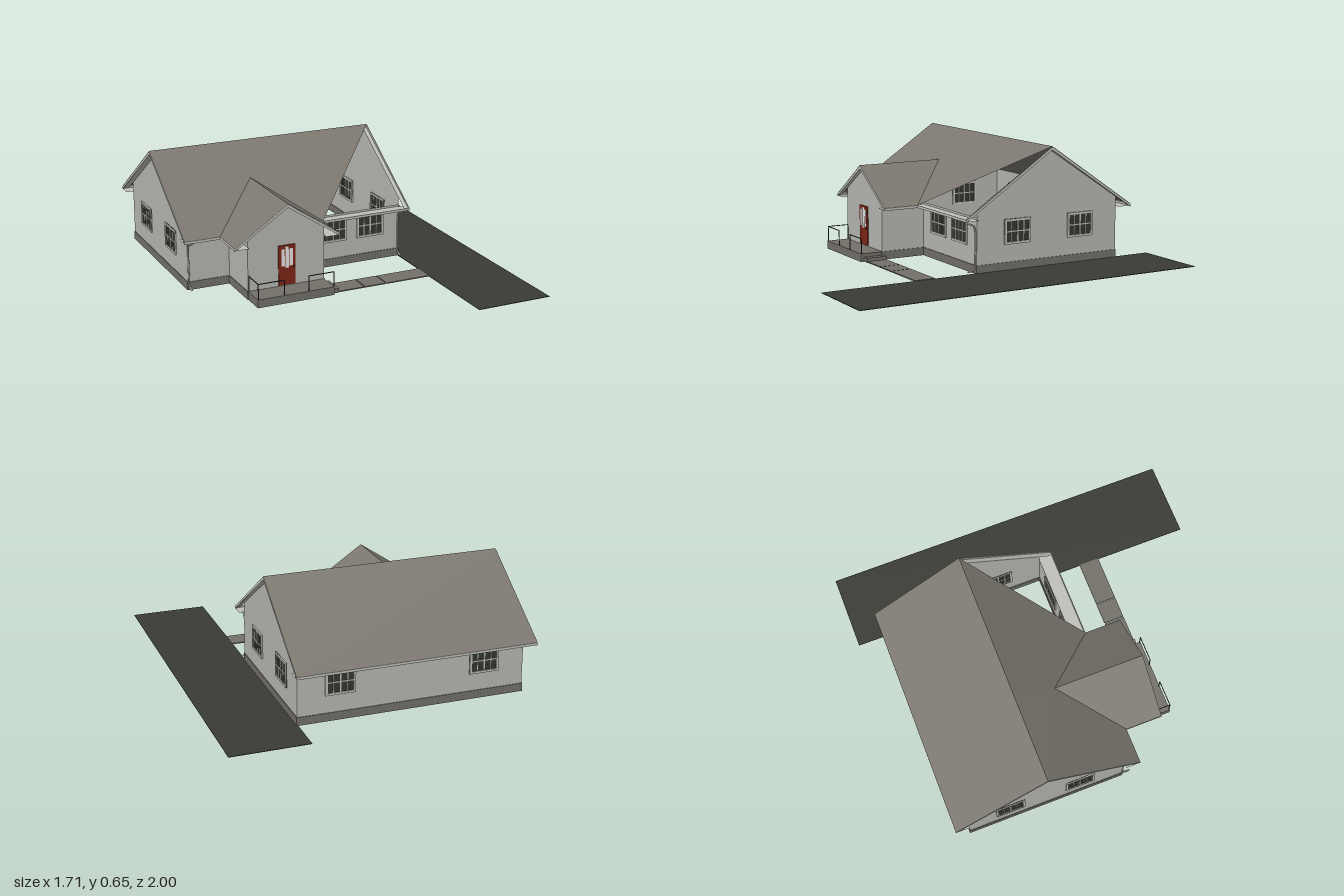
import * as THREE from 'three';

const material = (name, color, side = THREE.FrontSide) => {
  const m = new THREE.MeshStandardMaterial({ color, side });
  m.name = name;
  return m;
};

export function createModel() {
  const house = new THREE.Group();
  house.name = 'house';
  const D = THREE.DoubleSide;
  const siding = material('siding grey', 0xb8b8b4, D);
  const trim = material('trim grey', 0xc0c0bb, D);
  const shingle = material('shingle grey', 0x7c7870, D);
  const stone = material('foundation grey', 0x74716a, D);
  const asphalt = material('asphalt', 0x3b3b35, D);
  const glass = material('dark glass', 0x33362f);
  const doorRed = material('door red', 0x7e2517);
  const doorGlass = material('door glass', 0xf6f6f6);
  const metal = material('railing metal', 0x383836);

  const add = (name, geo, mat, x = 0, y = 0, z = 0, parent = house) => {
    const mesh = new THREE.Mesh(geo, mat);
    mesh.name = name;
    mesh.position.set(x, y, z);
    parent.add(mesh);
    return mesh;
  };
  // Box given by its minimum and maximum corners
  const box = (name, mat, [x0, y0, z0], [x1, y1, z1], parent = house) =>
    add(name, new THREE.BoxGeometry(x1 - x0, y1 - y0, z1 - z0), mat,
      (x0 + x1) / 2, (y0 + y1) / 2, (z0 + z1) / 2, parent);
  // Thin sheet made of flat polygons, each cut into a fan
  const sheet = (name, mat, ...polys) => {
    const pos = [];
    for (const p of polys)
      for (let i = 1; i < p.length - 1; i++) pos.push(...p[0], ...p[i], ...p[i + 1]);
    const geo = new THREE.BufferGeometry();
    geo.setAttribute('position', new THREE.Float32BufferAttribute(pos, 3));
    geo.computeVertexNormals();
    return add(name, geo, mat);
  };

  // Main dimensions
  const L = -0.82, R = 0.43, F = 0.11, B = -0.78;
  const base = 0.045, eave = 0.3, ridge = 0.65, ridgeZ = -0.34;
  const roofL = -0.86, roofR = 0.458, roofF = 0.19, roofB = -0.86;
  const pL = -0.585, pR = -0.15, pF = 0.37, pX = -0.367, pTop = 0.5;
  const pRoofL = -0.664, pRoofR = -0.07, pRoofF = 0.395, valleyZ = -0.11;
  const wallTop = 0.342;

  // Main walls, open behind the porch wing
  for (const [n, x] of [['rightGableWall', R], ['leftGableWall', L]])
    sheet(n, siding, [[x, base, F], [x, base, B], [x, wallTop, B], [x, ridge - 0.015, ridgeZ], [x, wallTop, F]]);
  sheet('backWall', siding, [[R, base, B], [L, base, B], [L, wallTop, B], [R, wallTop, B]]);
  sheet('frontWall', siding,
    [[L, base, F], [pL, base, F], [pL, eave, F], [L, eave, F]],
    [[pR, base, F], [R, base, F], [R, eave, F], [pR, eave, F]]);

  // Porch wing walls
  sheet('wingFrontWall', siding,
    [[pX, pTop - 0.012, pF], [pL, wallTop, pF], [pL, base, pF], [pR, base, pF], [pR, wallTop, pF]]);
  for (const [n, x] of [['wingLeftWall', pL], ['wingRightWall', pR]])
    sheet(n, siding, [[x, base, F], [x, base, pF], [x, wallTop, pF], [x, wallTop, F]]);

  // Foundation strips follow the wall outline
  const outline = [[L, B], [R, B], [R, F], [pR, F], [pR, pF], [pL, pF], [pL, F], [L, F]];
  outline.forEach(([x0, z0], i) => {
    const [x1, z1] = outline[(i + 1) % outline.length];
    const t = 0.004;
    box('foundation', stone, [Math.min(x0, x1) - t, 0, Math.min(z0, z1) - t],
      [Math.max(x0, x1) + t, base, Math.max(z0, z1) + t]);
  });

  // Main roof: full back slope, front slope cut along the valleys and the right diagonal
  sheet('backRoof', shingle,
    [[roofL, ridge, ridgeZ], [roofR, ridge, ridgeZ], [roofR, eave, roofB], [roofL, eave, roofB]]);
  const mid = [pX, ridge, ridgeZ], valley = [pX, pTop, valleyZ];
  sheet('frontRoof', shingle,
    [[roofL, ridge, ridgeZ], [roofL, eave, roofF], [pRoofL, eave, roofF], valley, mid],
    [mid, valley, [pRoofR, eave, roofF], [roofR, ridge, ridgeZ]]);
  sheet('wingRoof', shingle,
    ...[pRoofL, pRoofR].map(x =>
      [[pX, pTop, pRoofF], [x, eave, pRoofF], [x, eave, roofF], valley]));

  // Rake boards, drawn as a bent band along a gable
  const rake = (a, peak, b, top) => {
    const s = new THREE.Shape();
    s.moveTo(a, eave - 0.002);
    s.lineTo(peak, top - 0.002);
    s.lineTo(b, eave - 0.002);
    s.lineTo(b, eave - 0.017);
    s.lineTo(peak, top - 0.02);
    s.lineTo(a, eave - 0.017);
    return new THREE.ExtrudeGeometry(s, { depth: 0.004, bevelEnabled: false });
  };
  for (const x of [roofL, roofR - 0.004]) {
    const m = add('rakeBoard', rake(-roofF, -ridgeZ, -roofB, ridge), trim, x + 0.004);
    m.rotation.y = Math.PI / 2;
    m.position.x = x;
  }
  add('wingRakeBoard', rake(pRoofL, pX, pRoofR, pTop), trim, 0, 0, pRoofF - 0.004);

  // Soffits under the overhangs
  const sy = eave - 0.012;
  for (const [x0, x1] of [[roofL, L], [R, roofR]])
    sheet('gableSoffit', trim, ...[roofF, roofB].map(z =>
      [[x0, ridge - 0.02, ridgeZ], [x1, ridge - 0.02, ridgeZ], [x1, sy, z], [x0, sy, z]]));
  const flat = (x0, x1, z0, z1) => [[x0, sy, z0], [x1, sy, z0], [x1, sy, z1], [x0, sy, z1]];
  sheet('eaveSoffit', trim, flat(roofL, roofR, roofB, B), flat(roofL, pL, F, roofF),
    flat(pR, roofR, F, roofF), flat(pRoofL, pL, roofF, pRoofF), flat(pR, pRoofR, roofF, pRoofF));
  sheet('wingSoffit', trim, ...[pRoofL, pRoofR].map(x =>
    [[pX, pTop - 0.02, pF], [pX, pTop - 0.02, pRoofF], [x, sy, pRoofF], [x, sy, pF]]));

  // Eave boards
  const e0 = eave - 0.015, e1 = eave - 0.001;
  box('backEaveBoard', trim, [roofL, e0, roofB], [roofR, e1, roofB + 0.004]);
  box('frontEaveBoard', trim, [roofL, e0, roofF - 0.004], [pRoofL, e1, roofF]);
  box('frontEaveBoard', trim, [pRoofR, e0, roofF - 0.004], [roofR, e1, roofF]);
  for (const x of [pRoofL, pRoofR - 0.004])
    box('wingEaveBoard', trim, [x, e0, roofF], [x + 0.004, e1, pRoofF]);

  // Windows: dark pane with frame and glazing bars on both faces of the wall
  const addWindow = (x, z, turn) => {
    const g = new THREE.Group();
    g.name = 'window';
    g.position.set(x, 0.209, z);
    g.rotation.y = turn;
    house.add(g);
    const w = 0.082, h = 0.068, d = 0.008;
    box('pane', glass, [-w, -h, -0.004], [w, h, 0.004], g);
    for (const s of [-1, 1]) {
      box('frameSide', trim, [s * (w - 0.006) - 0.006, -h, -d], [s * (w - 0.006) + 0.006, h, d], g);
      box('frameRail', trim, [-w, s * (h - 0.006) - 0.006, -d], [w, s * (h - 0.006) + 0.006, d], g);
    }
    for (const [bx, t] of [[-0.038, 0.002], [0, 0.004], [0.038, 0.002]])
      box('glazingBar', trim, [bx - t, -h, -0.006], [bx + t, h, 0.006], g);
    box('glazingRail', trim, [-w, -0.003, -0.006], [w, 0.003, 0.006], g);
  };
  for (const x of [0.027, 0.252]) addWindow(x, F, 0);
  for (const x of [0.2, -0.595]) addWindow(x, B, Math.PI);
  for (const z of [-0.14, -0.54]) {
    addWindow(R, z, Math.PI / 2);
    addWindow(L, z, -Math.PI / 2);
  }

  // Front door with three narrow lights
  box('door', doorRed, [-0.414, 0.05, pF - 0.006], [-0.318, 0.27, pF + 0.006]);
  for (const [x, y0, y1] of [[-0.389, 0.155, 0.25], [-0.366, 0.145, 0.262], [-0.343, 0.155, 0.25]])
    box('doorLight', doorGlass, [x - 0.009, y0, pF - 0.008], [x + 0.009, y1, pF + 0.008]);
  box('doorHandle', metal, [-0.33, 0.14, pF], [-0.324, 0.152, pF + 0.012]);

  // Porch deck, step and paved walk
  box('porchDeck', stone, [pL, 0, pF], [pR, base, 0.5]);
  box('porchStep', stone, [pR, 0, 0.36], [-0.115, 0.025, 0.48]);
  for (const [x0, x1] of [[-0.115, 0.037], [0.042, 0.163], [0.168, R]])
    box('walkSlab', stone, [x0, 0, 0.36], [x1, 0.006, 0.477]);

  // Porch railing
  const t = 0.002, rz = 0.495, top = 0.13;
  for (const x of [-0.58, -0.435, -0.295, -0.153])
    box('railPost', metal, [x - t, base, rz - t], [x + t, top, rz + t]);
  for (const [x0, x1] of [[-0.58, -0.435], [-0.295, -0.153]])
    box('frontRail', metal, [x0, top - 0.004, rz - t], [x1, top, rz + t]);
  box('sideRail', metal, [-0.58 - t, top - 0.004, pF], [-0.58 + t, top, rz]);
  box('sideRailPost', metal, [-0.58 - t, base, pF], [-0.58 + t, top, pF + 2 * t]);

  // Downspouts at the front corners
  for (const x of [L + 0.004, R - 0.006]) {
    const path = new THREE.CatmullRomCurve3([[0.285, 0.185], [0.272, 0.165], [0.26, 0.13], [0.235, 0.118],
      [0.06, 0.118], [0.025, 0.122], [0.014, 0.16]].map(([y, z]) => new THREE.Vector3(x, y, z)));
    add('downspout', new THREE.TubeGeometry(path, 32, 0.005, 6), trim);
  }

  // Driveway
  box('driveway', asphalt, [0.427, 0, -1], [0.853, 0.003, 1]);
  return house;
}
